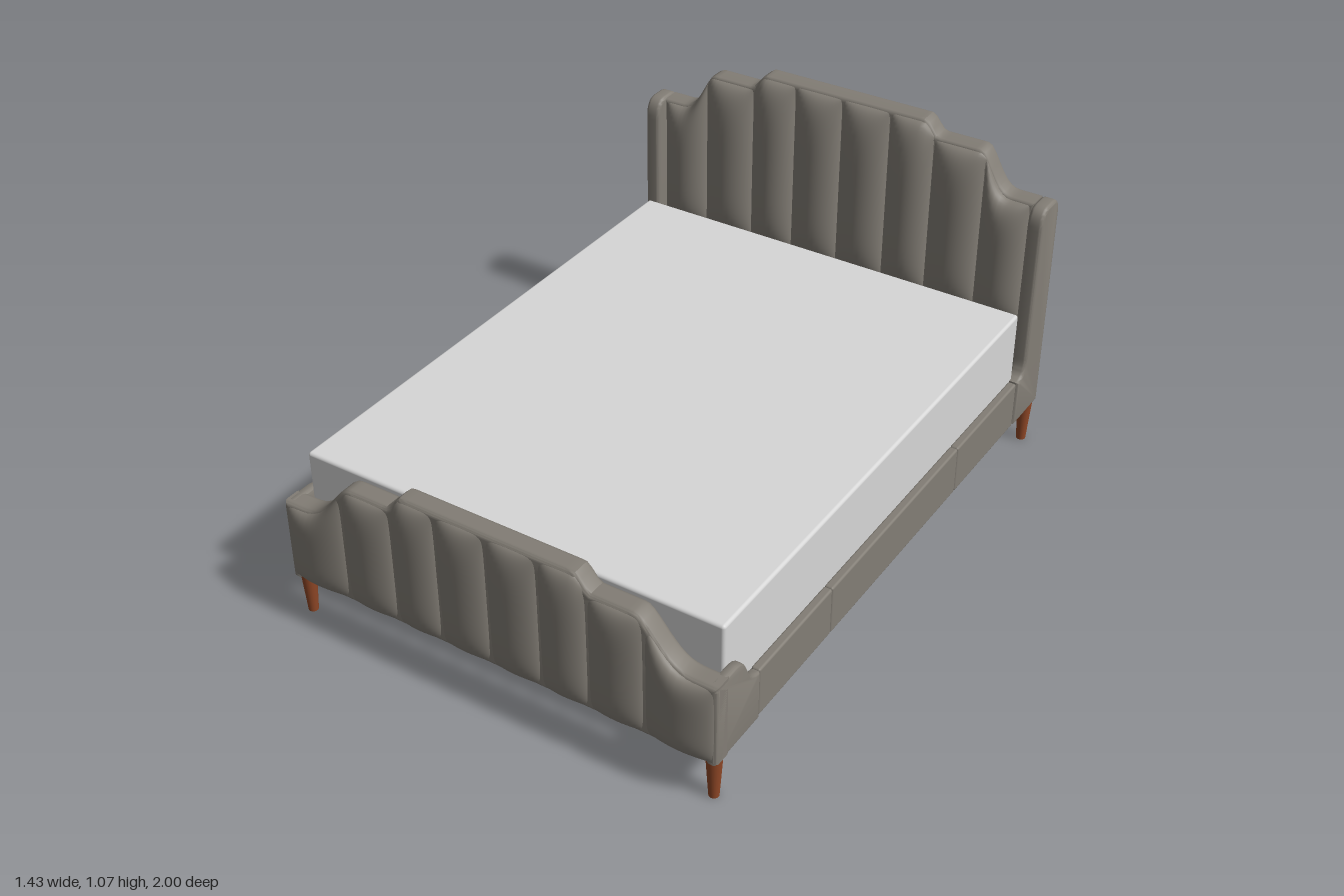
import * as THREE from 'three';
import { toCreasedNormals } from 'three/addons/utils/BufferGeometryUtils.js';
import { RoundedBoxGeometry } from 'three/addons/geometries/RoundedBoxGeometry.js';

const material = (name, color) => {
  const m = new THREE.MeshStandardMaterial({ color });
  m.name = name;
  return m;
};

const smooth = (t) => {
  t = Math.min(1, Math.max(0, t));
  return t * t * (3 - 2 * t);
};

// Stepped top edge: low shoulder, swept rise, then a small step to the crest
const stepped = (base, outer, inner, rise) => (x) => {
  const a = Math.abs(x);
  const t = Math.min(1, Math.max(0, (outer - a) / (outer - inner)));
  return base + rise * smooth(t ** 1.5) + 0.05 * smooth((0.335 - a) / 0.055);
};

// Extrusion with rounded edges that stays inside its outline
function padded(shape, depth, bevel) {
  const g = new THREE.ExtrudeGeometry(shape, {
    depth: depth - 2 * bevel, bevelEnabled: true, bevelThickness: bevel,
    bevelSize: bevel, bevelOffset: -bevel, bevelSegments: 4, curveSegments: 10,
  });
  g.translate(0, 0, bevel);
  return toCreasedNormals(g, 0.6);
}

// Upholstered board under a stepped top edge
function boardGeometry(top, halfWidth, bottom, z0, z1) {
  const pts = [new THREE.Vector2(-halfWidth, bottom), new THREE.Vector2(halfWidth, bottom)];
  const n = 90;
  for (let i = 0; i <= n; i++) {
    const x = halfWidth * (1 - (2 * i) / n);
    pts.push(new THREE.Vector2(x, top(x)));
  }
  return padded(new THREE.Shape(pts), z1 - z0, 0.015).translate(0, 0, z0);
}

// One vertical padded channel bulging forward between x0 and x1
function channelGeometry(top, x0, x1, bottom, z, depth) {
  const g = new THREE.PlaneGeometry(1, 1, 16, 32);
  const p = g.attributes.position;
  for (let i = 0; i < p.count; i++) {
    const s = Math.sin(p.getX(i) * Math.PI);
    const v = Math.sin(p.getY(i) * Math.PI);
    const x = x0 + (x1 - x0) * (s + 1) / 2;
    const y = bottom + (top(x) - 0.008 - bottom) * (v + 1) / 2;
    const bulge = Math.max(0, 1 - s * s) ** 0.6 * Math.max(0, 1 - Math.abs(v) ** 5) ** 0.5;
    p.setXYZ(i, x, y, z + depth * bulge);
  }
  g.computeVertexNormals();
  return g;
}

export function createModel() {
  const root = new THREE.Group();
  root.name = 'bed';
  const fabric = material('taupe upholstery', 0x827d75);
  const white = material('mattress white', 0xd6d6d6);
  const legWood = material('leg wood', 0x8f4726);
  const slatWood = material('slat wood', 0xb5925f);

  const add = (name, geometry, mat, x = 0, y = 0, z = 0, parent = root) => {
    const m = new THREE.Mesh(geometry, mat);
    m.name = name;
    m.position.set(x, y, z);
    parent.add(m);
    return m;
  };
  const block = (name, mat, x0, x1, y0, y1, z0, z1, r) =>
    add(name, new RoundedBoxGeometry(x1 - x0, y1 - y0, z1 - z0, 3, r), mat,
      (x0 + x1) / 2, (y0 + y1) / 2, (z0 + z1) / 2);

  // Headboard and footboard with eight channels each
  const channels = (name, top, half, bottom, z, depth) => {
    const group = new THREE.Group();
    group.name = name;
    root.add(group);
    const seams = [-half, -0.497, -0.322, -0.168, 0, 0.168, 0.322, 0.497, half];
    for (let i = 0; i < 8; i++) {
      add('channel', channelGeometry(top, seams[i], seams[i + 1], bottom, z, depth), fabric, 0, 0, 0, group);
    }
  };
  const headTop = stepped(0.885, 0.6, 0.475, 0.13);
  const footTop = stepped(0.405, 0.66, 0.465, 0.135);
  add('headboardPanel', boardGeometry(headTop, 0.665, 0.45, -0.99, -0.915), fabric);
  channels('headboardChannels', headTop, 0.655, 0.46, -0.92, 0.055);
  add('footboardPanel', boardGeometry(footTop, 0.715, 0.14, 0.9, 0.97), fabric);
  channels('footboardChannels', footTop, 0.71, 0.145, 0.962, 0.036);

  // Headboard post profile (horizontal axis is -z)
  const post = new THREE.Shape();
  post.moveTo(0.825, 0.14);
  post.lineTo(1, 0.14);
  post.lineTo(1, 0.84);
  post.quadraticCurveTo(1, 0.89, 0.955, 0.89);
  post.lineTo(0.92, 0.89);
  post.quadraticCurveTo(0.875, 0.885, 0.875, 0.82);
  post.lineTo(0.872, 0.36);
  post.quadraticCurveTo(0.87, 0.3, 0.825, 0.3);
  post.closePath();

  // Footboard wing profile
  const wing = new THREE.Shape();
  wing.moveTo(-0.968, 0.14);
  wing.lineTo(-0.752, 0.14);
  wing.lineTo(-0.752, 0.3);
  wing.bezierCurveTo(-0.83, 0.305, -0.8, 0.4, -0.868, 0.405);
  wing.lineTo(-0.95, 0.405);
  wing.quadraticCurveTo(-0.968, 0.405, -0.968, 0.385);
  wing.closePath();

  const postGeometry = padded(post, 0.05, 0.012).rotateY(Math.PI / 2);
  const wingGeometry = padded(wing, 0.032, 0.009).rotateY(Math.PI / 2);
  const legGeometry = new THREE.CylinderGeometry(0.024, 0.015, 0.145, 20);
  const railCuts = [-0.822, -0.41, 0.36, 0.748];

  for (const side of [1, -1]) {
    const name = side > 0 ? 'left' : 'right';
    add(name + 'HeadboardPost', postGeometry, fabric, side > 0 ? 0.665 : -0.715);
    add(name + 'FootboardWing', wingGeometry, fabric, side > 0 ? 0.683 : -0.715);

    // Side rail in three upholstered sections
    for (let i = 0; i < 3; i++) {
      const xs = [side * 0.682, side * 0.71].sort((a, b) => a - b);
      block(name + 'RailSection', fabric, xs[0], xs[1], 0.14, 0.3, railCuts[i], railCuts[i + 1], 0.007);
    }

    // Ledger carrying the slats
    add(name + 'Ledger', new THREE.BoxGeometry(0.025, 0.03, 1.74), slatWood, side * 0.669, 0.25, 0.03);

    // Tapered legs
    for (const z of [0.935, -0.965]) add(name + 'Leg', legGeometry, legWood, side * 0.689, 0.0725, z);
  }

  // Cross slats under the mattress
  const slatGeometry = new THREE.BoxGeometry(1.35, 0.022, 0.036);
  for (let i = 0; i < 11; i++) add('slat', slatGeometry, slatWood, 0, 0.275, -0.82 + i * 0.165);

  block('mattress', white, -0.684, 0.684, 0.286, 0.535, -0.845, 0.885, 0.01);
  return root;
}
